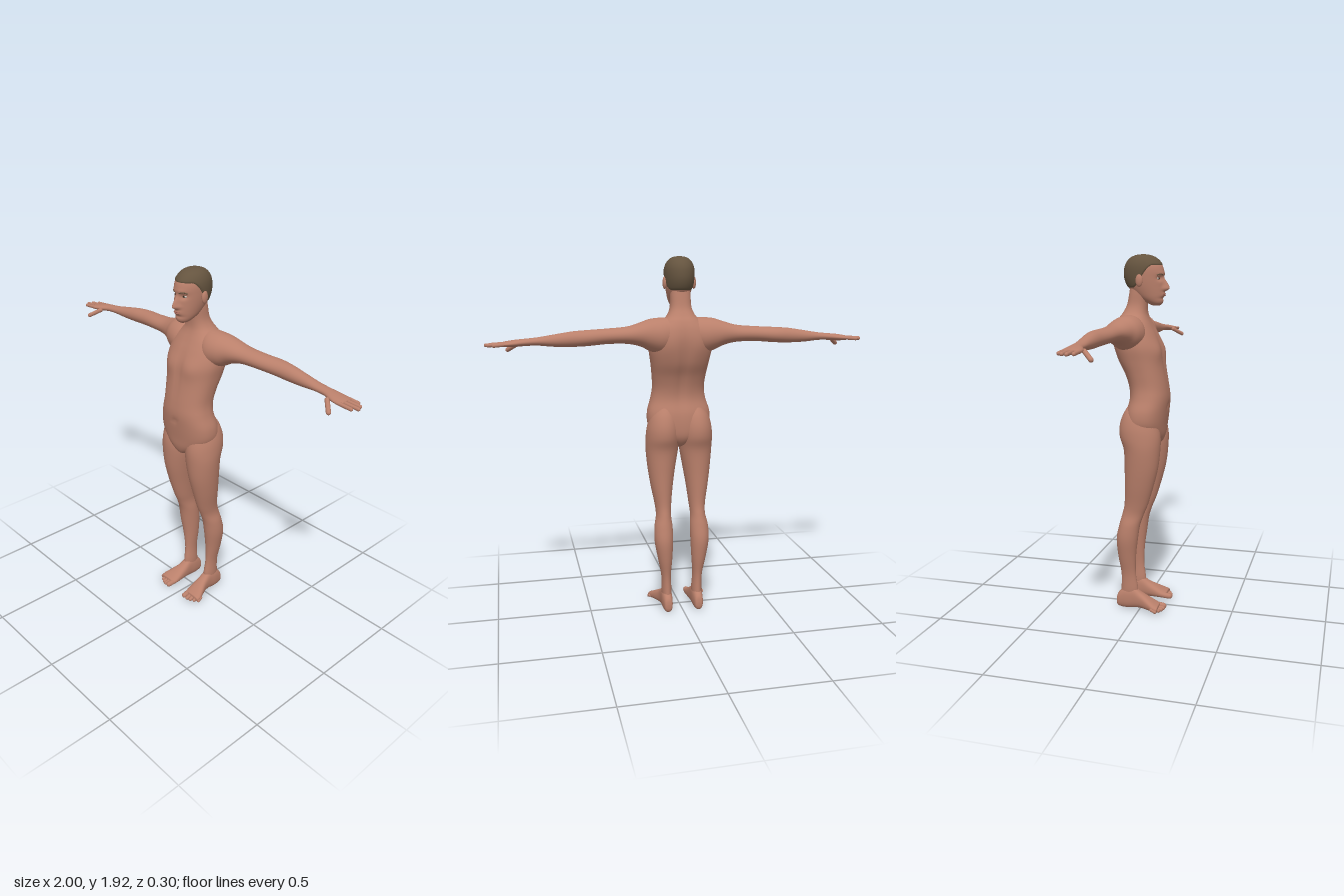
import * as THREE from 'three';

const material = (name, color) => Object.assign(new THREE.MeshStandardMaterial({ color }), { name });
const bump = (d, w) => Math.exp(-(d * d) / (w * w));
const clamp = THREE.MathUtils.clamp, smooth = THREE.MathUtils.smoothstep;

// Directions in which a loft can run: t along the axis, a and b across it
const UP = (t, a, b) => new THREE.Vector3(a, t, b);
const SIDE = (t, a, b) => new THREE.Vector3(t, b, a);
const FORWARD = (t, a, b) => new THREE.Vector3(b, a, t);

// Smooth closed skin through rings of [t, aMin, aMax, bMin, bMax]
function loft(rings, map, { n = 32, steps = 5, power = 2, sculpt } = {}) {
  const rows = [];
  const at = i => rings[clamp(i, 0, rings.length - 1)];
  for (let i = 0; i < rings.length - 1; i++) {
    for (let s = 0; s < steps + (i === rings.length - 2 ? 1 : 0); s++) {
      const u = s / steps;
      rows.push(rings[i].map((p1, k) => {
        const p0 = at(i - 1)[k], p2 = at(i + 1)[k], p3 = at(i + 2)[k];
        return p1 + 0.5 * u * (p2 - p0 + u * (2 * p0 - 5 * p1 + 4 * p2 - p3 + u * (3 * (p1 - p2) + p3 - p0)));
      }));
    }
  }
  const pos = [], index = [];
  const round = c => Math.sign(c) * Math.abs(c) ** (2 / power);
  const add = (t, a, b) => {
    const v = map(t, a, b);
    if (sculpt) sculpt(v);
    pos.push(v.x, v.y, v.z);
  };
  for (const [t, a0, a1, b0, b1] of rows) {
    for (let j = 0; j < n; j++) {
      const q = j / n * Math.PI * 2;
      add(t, (a0 + a1) / 2 + (a1 - a0) / 2 * round(Math.cos(q)), (b0 + b1) / 2 + (b1 - b0) / 2 * round(Math.sin(q)));
    }
  }
  for (let i = 0; i < rows.length - 1; i++) {
    for (let j = 0; j < n; j++) {
      const a = i * n + j, b = i * n + (j + 1) % n;
      index.push(a, a + n, b, b, a + n, b + n);
    }
  }
  // end caps
  const last = (rows.length - 1) * n, c = rows.length * n;
  for (const r of [rows[0], rows[rows.length - 1]]) add(r[0], (r[1] + r[2]) / 2, (r[3] + r[4]) / 2);
  for (let j = 0; j < n; j++) {
    const k = (j + 1) % n;
    index.push(c, j, k, c + 1, last + k, last + j);
  }
  const geo = new THREE.BufferGeometry();
  geo.setAttribute('position', new THREE.Float32BufferAttribute(pos, 3));
  geo.setIndex(index);
  geo.computeVertexNormals();
  return geo;
}

// Rounded finger or toe between two points
function digit(from, to, r) {
  const a = new THREE.Vector3(...from), b = new THREE.Vector3(...to), d = b.clone().sub(a);
  const geo = new THREE.CapsuleGeometry(r, d.length() - r, 6, 12);
  geo.applyQuaternion(new THREE.Quaternion().setFromUnitVectors(new THREE.Vector3(0, 1, 0), d.clone().normalize()));
  const m = a.add(b).multiplyScalar(0.5);
  return geo.translate(m.x, m.y, m.z);
}

function ellipsoid(x, y, z, rx, ry, rz) {
  return new THREE.SphereGeometry(1, 20, 14).scale(rx, ry, rz).translate(x, y, z);
}

function mirrored(geo) {
  const m = geo.clone().scale(-1, 1, 1), ix = m.index.array;
  for (let i = 0; i < ix.length; i += 3) [ix[i], ix[i + 1]] = [ix[i + 1], ix[i]];
  return m;
}

export function createModel() {
  const model = new THREE.Group();
  model.name = 'standingFigure';
  const skin = material('skin', 0xba806b), hair = material('hair', 0x65543f);
  const lip = material('lips', 0xa4685a), white = material('eyeWhite', 0xc9bdb2), dark = material('iris', 0x35261e);

  const put = (name, geo, mat = skin) => {
    const mesh = new THREE.Mesh(geo, mat);
    mesh.name = name;
    model.add(mesh);
  };
  const pair = (name, geo, mat) => {
    put(name + 'Left', geo, mat);
    put(name + 'Right', mirrored(geo), mat);
  };

  // Torso and neck: [y, half width, back z, front z]
  const torso = [
    [0.915, 0.012, -0.03, 0.07], [0.935, 0.05, -0.06, 0.1], [0.975, 0.12, -0.084, 0.116], [1.03, 0.165, -0.09, 0.122],
    [1.1, 0.17, -0.085, 0.13], [1.17, 0.15, -0.068, 0.136], [1.23, 0.14, -0.072, 0.13], [1.3, 0.145, -0.094, 0.118],
    [1.37, 0.155, -0.128, 0.106], [1.44, 0.166, -0.147, 0.093], [1.5, 0.16, -0.153, 0.07], [1.55, 0.14, -0.146, 0.045],
    [1.59, 0.1, -0.13, 0.026], [1.62, 0.072, -0.11, 0.018], [1.66, 0.056, -0.09, 0.018], [1.72, 0.053, -0.078, 0.025],
    [1.77, 0.05, -0.07, 0.03],
  ].map(([y, w, b, f]) => [y, -w, w, b, f]);
  put('torso', loft(torso, UP, {
    n: 56, power: 2.3,
    sculpt(v) {
      const x = Math.abs(v.x);
      if (v.z > 0) { // chest, breastbone and navel
        v.z += 0.01 * bump(x - 0.075, 0.05) * bump(v.y - 1.42, 0.05);
        v.z -= 0.006 * bump(x, 0.014) * bump(v.y - 1.4, 0.13);
        v.z -= 0.008 * bump(x, 0.012) * bump(v.y - 1.13, 0.014);
      } else { // spine furrow and shoulder blades
        v.z += 0.014 * bump(x, 0.022) * bump(v.y - 1.32, 0.2);
        v.z -= 0.005 * bump(x - 0.08, 0.04) * bump(v.y - 1.46, 0.07);
      }
    },
  }));

  // Legs: [y, inner x, outer x, back z, front z]
  pair('leg', loft([
    [0.05, 0.062, 0.108, -0.115, -0.02], [0.11, 0.058, 0.112, -0.107, -0.012], [0.2, 0.062, 0.114, -0.105, -0.024],
    [0.3, 0.055, 0.133, -0.12, -0.022], [0.4, 0.05, 0.15, -0.127, -0.01], [0.48, 0.05, 0.148, -0.112, 0.002],
    [0.54, 0.055, 0.136, -0.096, 0.022], [0.6, 0.05, 0.14, -0.083, 0.046], [0.7, 0.038, 0.158, -0.08, 0.076],
    [0.8, 0.022, 0.172, -0.08, 0.1], [0.9, 0.005, 0.181, -0.085, 0.111], [0.97, 0, 0.181, -0.107, 0.112],
    [1.03, 0.003, 0.174, -0.108, 0.1], [1.09, 0.015, 0.155, -0.09, 0.08], [1.14, 0.04, 0.12, -0.06, 0.05],
  ], UP));

  // Feet: [z, bottom, top, inner x, outer x]
  pair('foot', loft([
    [-0.132, 0.025, 0.05, 0.074, 0.097], [-0.122, 0.006, 0.085, 0.063, 0.108], [-0.08, 0, 0.12, 0.056, 0.115],
    [-0.035, 0.004, 0.122, 0.055, 0.115], [0.005, 0.007, 0.096, 0.052, 0.122], [0.05, 0.006, 0.072, 0.049, 0.142],
    [0.085, 0.006, 0.053, 0.049, 0.158], [0.112, 0.01, 0.04, 0.056, 0.157],
  ], FORWARD, { n: 28, power: 2.4 }));
  for (let i = 0; i < 5; i++) {
    const r = i ? 0.0115 - i * 0.0006 : 0.0155;
    const x = i ? 0.07 + i * 0.0205 : 0.066;
    pair('toe' + (i + 1), digit([x, 0.027, 0.075], [x + 0.004, r + 0.006, 0.145 - i * i * 0.0022 - r / 2], r));
  }

  // Arms and palms: [x, back z, front z, bottom, top]
  pair('arm', loft([
    [0.05, -0.135, 0.015, 1.43, 1.607], [0.11, -0.148, 0.035, 1.42, 1.607], [0.17, -0.148, 0.024, 1.437, 1.601],
    [0.22, -0.146, -0.004, 1.462, 1.585], [0.29, -0.142, -0.028, 1.478, 1.566], [0.39, -0.142, -0.04, 1.48, 1.558],
    [0.49, -0.151, -0.055, 1.473, 1.553], [0.57, -0.142, -0.06, 1.47, 1.547], [0.66, -0.13, -0.062, 1.472, 1.533],
    [0.74, -0.12, -0.06, 1.479, 1.52], [0.8, -0.117, -0.056, 1.478, 1.514], [0.85, -0.121, -0.038, 1.474, 1.509],
    [0.895, -0.122, -0.029, 1.474, 1.502], [0.92, -0.116, -0.036, 1.479, 1.496],
  ], SIDE));
  [['indexFinger', -0.038, 0.98], ['middleFinger', -0.063, 1], ['ringFinger', -0.088, 0.99], ['littleFinger', -0.112, 0.962]]
    .forEach(([name, z, tip]) => pair(name, digit([0.885, 1.489, z * 0.98 - 0.001], [tip - 0.0045, 1.483, z], 0.009)));
  pair('thumb', digit([0.835, 1.487, -0.042], [0.89, 1.45, 0.011], 0.0115));

  // Head: [y, half width, back z, front z]
  const head = [
    [1.655, 0.018, 0.045, 0.085], [1.668, 0.036, 0.015, 0.099], [1.69, 0.05, -0.025, 0.104], [1.72, 0.06, -0.062, 0.107],
    [1.76, 0.069, -0.09, 0.106], [1.8, 0.074, -0.103, 0.105], [1.84, 0.075, -0.103, 0.103], [1.87, 0.069, -0.094, 0.09],
    [1.893, 0.054, -0.073, 0.065], [1.907, 0.033, -0.045, 0.035], [1.912, 0.008, -0.012, 0.004],
  ].map(([y, w, b, f]) => [y, -w, w, b, f]);
  put('head', loft(head, UP, {
    n: 96, steps: 8,
    sculpt(v) {
      if (v.z < 0.03) return;
      const x = Math.abs(v.x), y = v.y;
      const bridge = smooth(1.81 - y, 0, 0.068) * smooth(y, 1.722, 1.742);
      v.z += 0.03 * bridge * bump(x, 0.012 + 0.005 * bump(y - 1.74, 0.014)); // nose
      v.z -= 0.012 * bump(x - 0.031, 0.016) * bump(y - 1.793, 0.013); // eye sockets
      v.z += 0.004 * bump(x - 0.02, 0.03) * bump(y - 1.818, 0.012); // brow
      v.z += 0.006 * bump(x, 0.022) * bump(y - 1.711, 0.012); // mouth
      v.z -= 0.005 * bump(x, 0.03) * bump(y - 1.692, 0.008); // hollow above chin
    },
  }));
  pair('ear', ellipsoid(0.078, 1.782, -0.004, 0.011, 0.032, 0.019).rotateY(0.04));

  // Cropped hair: rises out of the scalp above the hairline
  put('hair', loft(head.slice(3), UP, {
    n: 96, steps: 10,
    sculpt(v) {
      const line = 1.745 + 0.115 * smooth(v.z, -0.05, 0.06);
      const k = clamp((v.y - line) * 0.7, -0.008, 0.004);
      v.x *= 1 + k / 0.075;
      v.z *= 1 + k / 0.1;
      v.y += k * smooth(v.y, 1.86, 1.9);
    },
  }), hair);

  // Facial details
  pair('eye', ellipsoid(0.031, 1.793, 0.079, 0.013, 0.006, 0.009), white);
  pair('iris', ellipsoid(0.031, 1.793, 0.0865, 0.0055, 0.0055, 0.003), dark);
  const browPath = new THREE.CatmullRomCurve3([[0.014, 1.809, 0.105], [0.032, 1.815, 0.098], [0.051, 1.809, 0.079]]
    .map(p => new THREE.Vector3(...p)));
  pair('eyebrow', new THREE.TubeGeometry(browPath, 12, 0.0028, 8), hair);
  put('upperLip', ellipsoid(0, 1.7145, 0.109, 0.02, 0.0035, 0.006), lip);
  put('lowerLip', ellipsoid(0, 1.7075, 0.109, 0.017, 0.004, 0.006), lip);

  return model;
}
